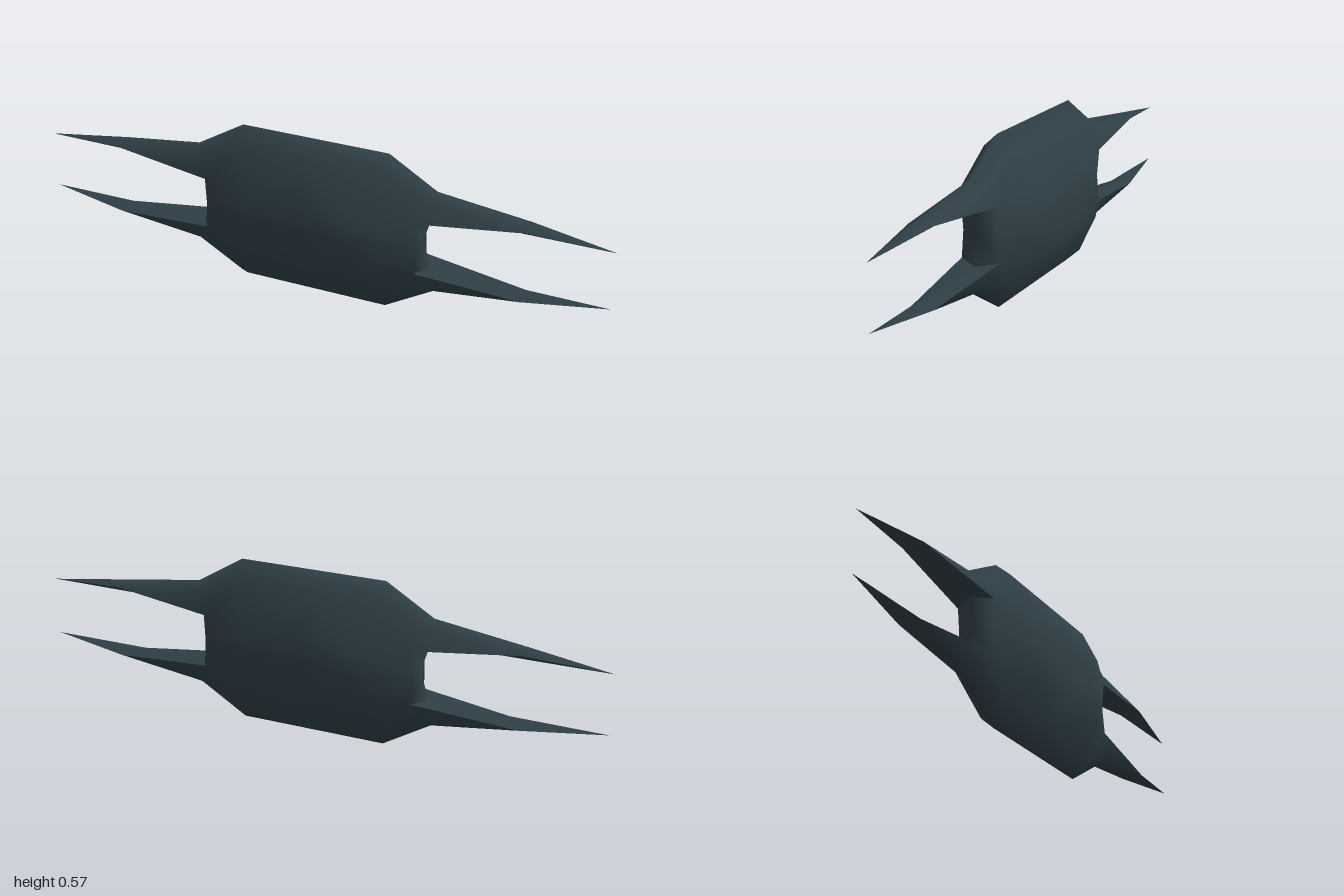
import * as THREE from 'three';
import { mergeVertices } from 'three/addons/utils/BufferGeometryUtils.js';

const MID = 0.2875; // height of the horizontal mirror plane

// Mirror one octant's triangles into all eight and smooth the joined skin.
function mirrorOctant(tris) {
  const pos = [];
  for (const sx of [1, -1]) for (const sy of [1, -1]) for (const sz of [1, -1]) {
    for (const [a, b, c] of tris) {
      const order = sx * sy * sz > 0 ? [a, b, c] : [a, c, b];
      for (const [x, y, z] of order) pos.push(x * sx, MID + y * sy, z * sz);
    }
  }
  const g = new THREE.BufferGeometry();
  g.setAttribute('position', new THREE.Float32BufferAttribute(pos, 3));
  const merged = mergeVertices(g, 1e-4);
  merged.computeVertexNormals();
  return merged;
}

const quad = (a, b, c, d) => [[a, b, c], [a, c, d]];

export function createModel() {
  const group = new THREE.Group();
  const slate = new THREE.MeshStandardMaterial({ color: 0x2f3f46 });
  slate.name = 'dark slate';

  // Cross-section rows, ridge to equator: [y above the middle, z], and x of the shoulder
  const profile = [[0.2875, 0], [0.2425, 0.05], [0.0925, 0.137], [0, 0.125]];
  const shoulderX = [0.255, 0.25, 0.19, 0.19];
  const centre = profile.map(([y, z]) => [0, y, z]);
  const shoulder = profile.map(([y, z], i) => [shoulderX[i], y, z]);
  const base = [[0.42, 0.187, 0], [0.42, 0.155, 0.038], [0.37, 0.0925, 0.067], [0.37, 0, 0.06]];

  // Spike points
  const ridge = [0.72, 0.143, 0];
  const side = [0.72, 0.127, 0.038];
  const tip = [1, 0.1025, 0];
  // Notch between the spikes
  const notchTop = [0.41, 0.1, 0];
  const notchMid = [0.38, 0, 0];

  const skin = [];
  for (const [inner, outer] of [[centre, shoulder], [shoulder, base]]) {
    for (let i = 0; i < 3; i++) {
      skin.push(...quad(inner[i], inner[i + 1], outer[i + 1], outer[i]));
    }
  }
  // Outer faces of the spikes
  skin.push(...quad(base[0], base[1], side, ridge), [base[1], base[2], side], [ridge, side, tip]);
  // End walls of the notches
  skin.push(...quad(base[2], base[3], notchMid, notchTop));

  const hull = new THREE.Mesh(mirrorOctant(skin), slate);
  hull.name = 'hull';

  // Inner faces of the spikes, kept apart so their edges stay sharp
  const inner = [[base[2], notchTop, side], [notchTop, tip, side]];
  const spikeInnerFaces = new THREE.Mesh(mirrorOctant(inner), slate);
  spikeInnerFaces.name = 'spikeInnerFaces';

  group.add(hull, spikeInnerFaces);
  return group;
}
